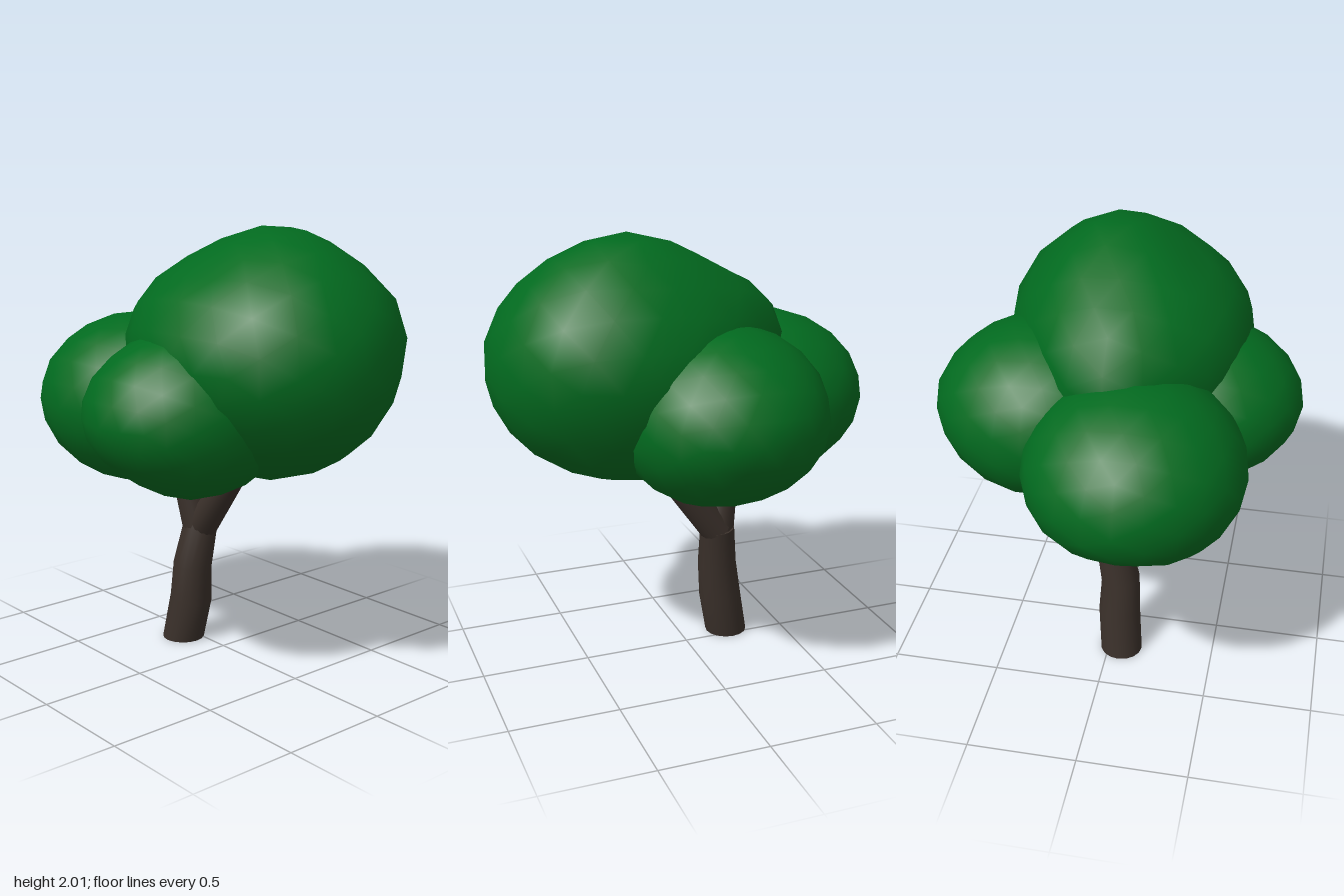
import * as THREE from 'three';
import { mergeVertices, toCreasedNormals } from 'three/addons/utils/BufferGeometryUtils.js';

const SIDES = 16;
const V = (a) => new THREE.Vector3(...a);

// Round limb through [x, y, z, radius] stations, closed at both ends
function limb(name, stations, material, flatBase = false) {
  const centres = stations.map((s) => V(s));
  const last = stations.length - 1;
  const pos = [];
  const idx = [];
  stations.forEach((s, i) => {
    const axis = centres[Math.min(i + 1, last)].clone().sub(centres[Math.max(i - 1, 0)]).normalize();
    if (flatBase && i === 0) axis.set(0, 1, 0);
    const turn = new THREE.Quaternion().setFromUnitVectors(V([0, 1, 0]), axis);
    for (let j = 0; j < SIDES; j++) {
      const a = (j / SIDES) * Math.PI * 2;
      const p = V([Math.sin(a) * s[3], 0, Math.cos(a) * s[3]]).applyQuaternion(turn).add(centres[i]);
      pos.push(p.x, p.y, p.z);
    }
  });
  const bottom = pos.length / 3;
  pos.push(...centres[0].toArray(), ...centres[last].toArray());
  for (let j = 0; j < SIDES; j++) {
    const k = (j + 1) % SIDES;
    for (let i = 0; i < last; i++) {
      const a = i * SIDES + j, b = i * SIDES + k;
      idx.push(a, b, b + SIDES, a, b + SIDES, a + SIDES);
    }
    idx.push(bottom, k, j, bottom + 1, last * SIDES + j, last * SIDES + k);
  }
  const geo = new THREE.BufferGeometry();
  geo.setAttribute('position', new THREE.Float32BufferAttribute(pos, 3));
  geo.setIndex(idx);
  const mesh = new THREE.Mesh(toCreasedNormals(geo, 0.9), material);
  mesh.name = name;
  return mesh;
}

// Low-poly ellipsoid swollen or dented by bumps of [direction, amount]
function foliage(name, centre, radii, bumps, material) {
  let geo = new THREE.IcosahedronGeometry(1, 3);
  geo.deleteAttribute('uv');
  geo.deleteAttribute('normal');
  geo = mergeVertices(geo, 1e-4);
  const p = geo.attributes.position;
  const d = new THREE.Vector3();
  const dirs = bumps.map(([dir, amount]) => [V(dir).normalize(), amount]);
  for (let i = 0; i < p.count; i++) {
    d.fromBufferAttribute(p, i).normalize();
    let r = 1.008;
    for (const [dir, amount] of dirs) r += amount * Math.exp(-9 * (1 - d.dot(dir)));
    d.multiplyScalar(r).multiply(V(radii)).add(V(centre));
    p.setXYZ(i, d.x, d.y, d.z);
  }
  geo.computeVertexNormals();
  const mesh = new THREE.Mesh(geo, material);
  mesh.name = name;
  return mesh;
}

export function createModel() {
  const tree = new THREE.Group();
  tree.name = 'tree';
  const bark = new THREE.MeshStandardMaterial({ color: 0x3a302a });
  const leaf = new THREE.MeshStandardMaterial({ color: 0x026a1f });

  // Crooked trunk forking into two branches
  tree.add(
    limb('trunk', [
      [-0.06, 0, -0.23, 0.1],
      [-0.043, 0.21, -0.19, 0.1],
      [-0.045, 0.38, -0.175, 0.092],
      [-0.006, 0.58, -0.16, 0.081],
    ], bark, true),
    limb('backBranch', [
      [-0.01, 0.54, -0.16, 0.078],
      [-0.05, 0.8, -0.21, 0.066],
      [-0.08, 1.0, -0.25, 0.058],
    ], bark),
    limb('frontBranch', [
      [-0.006, 0.56, -0.16, 0.077],
      [-0.005, 0.86, 0.07, 0.064],
      [0, 1.1, 0.25, 0.055],
    ], bark),
  );

  // Four overlapping leaf clumps
  tree.add(
    foliage('topFoliage', [-0.015, 1.45, 0.27], [0.56, 0.545, 0.64], [
      [[0.99, 0.38, 0.5], 0.1],
      [[0.7, 0, -0.7], -0.08],
      [[0.05, 0.24, -0.95], 0.16],
      [[0.24, 1, 0.05], 0.07],
      [[0.74, 0.68, -0.1], -0.08],
      [[-0.55, 0.78, 0], -0.13],
      [[0, 0.75, -0.65], -0.07],
      [[0, 0.6, 0.8], -0.03],
      [[-0.7, -0.6, 0], -0.12],
      [[-0.75, 0.1, 0.65], 0.03],
    ], leaf),
    foliage('leftFoliage', [0.325, 1.245, -0.042], [0.49, 0.4, 0.467], [
      [[0.95, 0.3, 0], 0.02],
      [[0.7, -0.7, 0], -0.09],
      [[0.7, 0.7, 0], -0.03],
    ], leaf),
    foliage('rightFoliage', [-0.35, 1.22, 0.18], [0.47, 0.37, 0.41], [
      [[-0.7, -0.72, 0], -0.1],
      [[-0.7, 0.72, 0], -0.02],
      [[-0.35, 0, -0.9], 0.08],
    ], leaf),
    foliage('backFoliage', [-0.145, 1.185, -0.395], [0.485, 0.4, 0.51], [
      [[0, -0.75, -0.65], -0.08],
      [[0, -0.15, -1], 0.025],
    ], leaf),
  );
  return tree;
}
